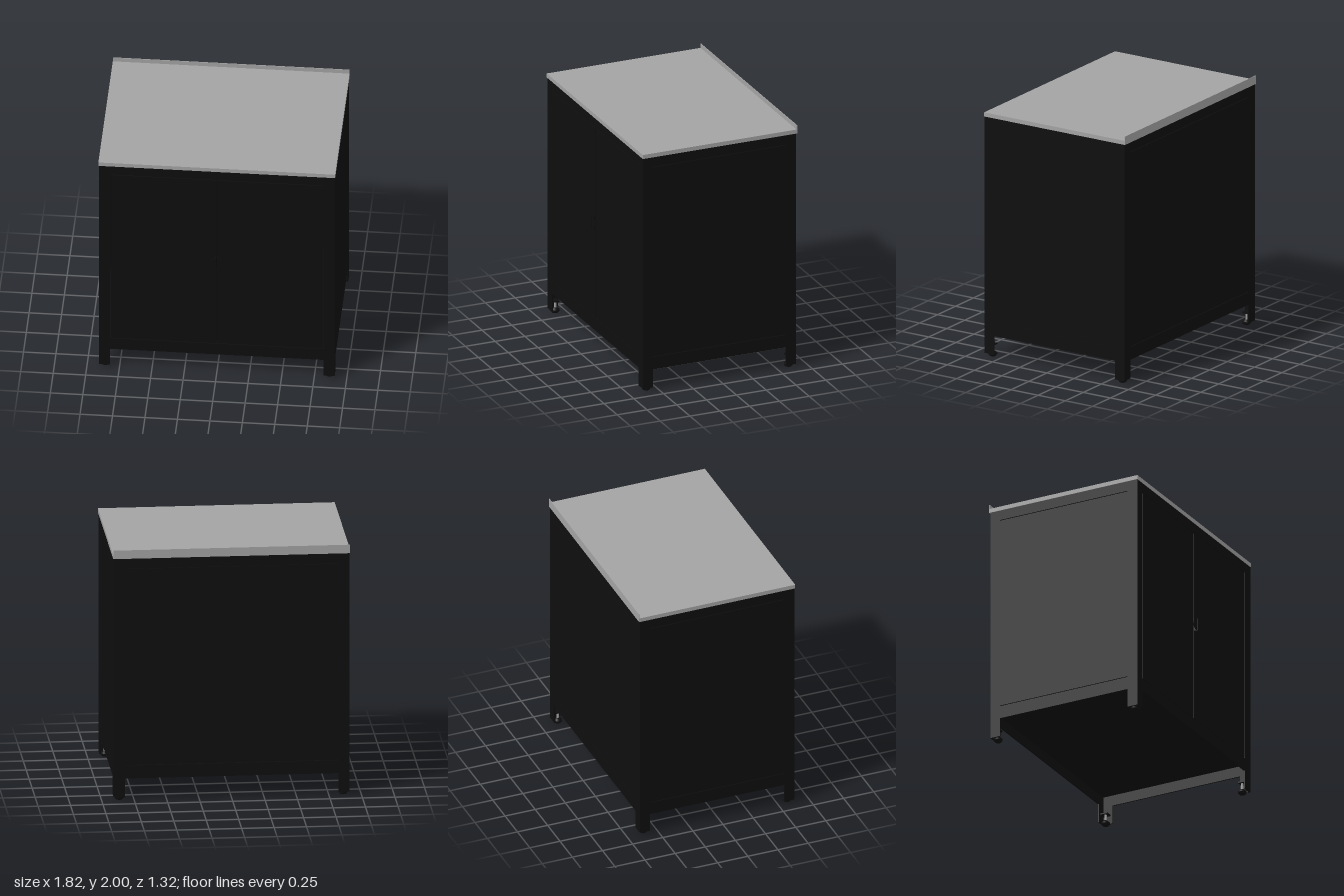
import * as THREE from 'three';

export function createModel() {
  const root = new THREE.Group();
  const mat = (name, color) => {
    const m = new THREE.MeshStandardMaterial({ color });
    m.name = name;
    return m;
  };
  const black = mat('black', 0x0e0e0e);
  const steel = mat('steel grey', 0xa3a3a3);

  // box given by its lower and upper corners
  const box = (name, m, x0, x1, y0, y1, z0, z1, parent = root) => {
    const mesh = new THREE.Mesh(new THREE.BoxGeometry(x1 - x0, y1 - y0, z1 - z0), m);
    mesh.position.set((x0 + x1) / 2, (y0 + y1) / 2, (z0 + z1) / 2);
    mesh.name = name;
    parent.add(mesh);
    return mesh;
  };

  const X = 0.908, ZF = 0.632, ZB = -0.652; // outer faces of the cabinet
  const T = 0.01;                           // sheet thickness
  const LEG = 0.085, G = 0.0025;            // leg width, half of a gap
  const yRail = 0.175, yLow = 0.28, yHigh = 1.85, yTop = 1.932;
  const xi = X - LEG, zf = ZF - LEG, zb = ZB + LEG;

  // worktop with rear upstand
  box('worktop', steel, -0.912, 0.912, yTop, 1.965, -0.656, 0.635);
  box('upstand', steel, -0.912, 0.912, yTop, 2, -0.66, -0.655);

  // angle-section corner legs, open to the inside, with screw feet
  for (const sx of [-1, 1]) for (const sz of [-1, 1]) {
    const leg = new THREE.Group();
    leg.name = 'leg';
    leg.position.set(sx * X, 0, sz > 0 ? ZF : ZB);
    root.add(leg);
    const span = (s, w) => (s > 0 ? [-w, 0] : [0, w]);
    box('legFace', black, ...span(sx, LEG), 0.025, yTop, ...span(sz, T), leg);
    box('legSide', black, ...span(sx, T), 0.025, yTop, ...span(sz, LEG), leg);
    box('footPlate', black, ...span(sx, LEG - 0.015), 0.09, 0.1, ...span(sz, LEG - 0.015), leg);
    const turned = (name, m, rTop, rBottom, y0, y1, sides) => {
      const c = new THREE.Mesh(new THREE.CylinderGeometry(rTop, rBottom, y1 - y0, sides), m);
      c.position.set(-sx * 0.045, (y0 + y1) / 2, -sz * 0.045);
      c.name = name;
      leg.add(c);
    };
    turned('footBase', black, 0.034, 0.024, 0, 0.012, 20);
    turned('footDisc', black, 0.034, 0.034, 0.012, 0.024, 20);
    turned('footCone', black, 0.015, 0.032, 0.024, 0.04, 20);
    turned('footScrew', steel, 0.01, 0.01, 0.04, 0.09, 12);
  }

  // rails below and above the panels, on all four sides
  for (const [name, y0, y1] of [['bottomRail', yRail, yLow - G], ['topRail', yHigh + G, yTop]]) {
    box(name, black, -xi, xi, y0, y1, ZF - T, ZF);
    box(name, black, -xi, xi, y0, y1, ZB, ZB + T);
    for (const s of [-1, 1]) {
      const a = s * X, b = s * (X - T);
      box(name, black, Math.min(a, b), Math.max(a, b), y0, y1, zb, zf);
    }
  }

  // cabinet floor, set up inside the bottom rails
  box('floor', black, -X + T, X - T, 0.26, 0.27, ZB + T, ZF - T);

  // back and side panels
  box('backPanel', black, -xi, xi, yLow + G, yHigh - G, ZB, ZB + T);
  for (const s of [-1, 1]) {
    const a = s * X, b = s * (X - T);
    box('sidePanel', black, Math.min(a, b), Math.max(a, b), yLow + G, yHigh - G, zb, zf);
  }

  // doors, latches and half-round pulls
  for (const s of [-1, 1]) {
    const door = new THREE.Group();
    door.name = s > 0 ? 'leftDoor' : 'rightDoor';
    root.add(door);
    const span = (a, b) => (s > 0 ? [a, b] : [-b, -a]);
    box('doorPanel', black, ...span(G, xi - 2 * G), yLow + G, yHigh - G, ZF - T, ZF, door);
    box('doorFold', black, ...span(G, 0.008), yLow + G, yHigh - G, ZF - 0.04, ZF - T, door);
    box('latch', black, ...span(0.04, 0.14), 1.82, 1.9, ZF - 0.06, ZF - T, door);
    box('pullStem', black, ...span(0.004, 0.009), 1.02, 1.12, ZF, 0.66, door);
    const arc = new THREE.Shape();
    arc.absarc(0, 0, 0.05, -Math.PI / 2, Math.PI / 2, false);
    const pull = new THREE.Mesh(
      new THREE.ExtrudeGeometry(arc, { depth: 0.004, bevelEnabled: false, curveSegments: 16 }), black);
    pull.rotation.z = s > 0 ? 0 : Math.PI;
    pull.position.set(s * 0.004, 1.07, 0.656);
    pull.name = 'pull';
    door.add(pull);
  }

  return root;
}
